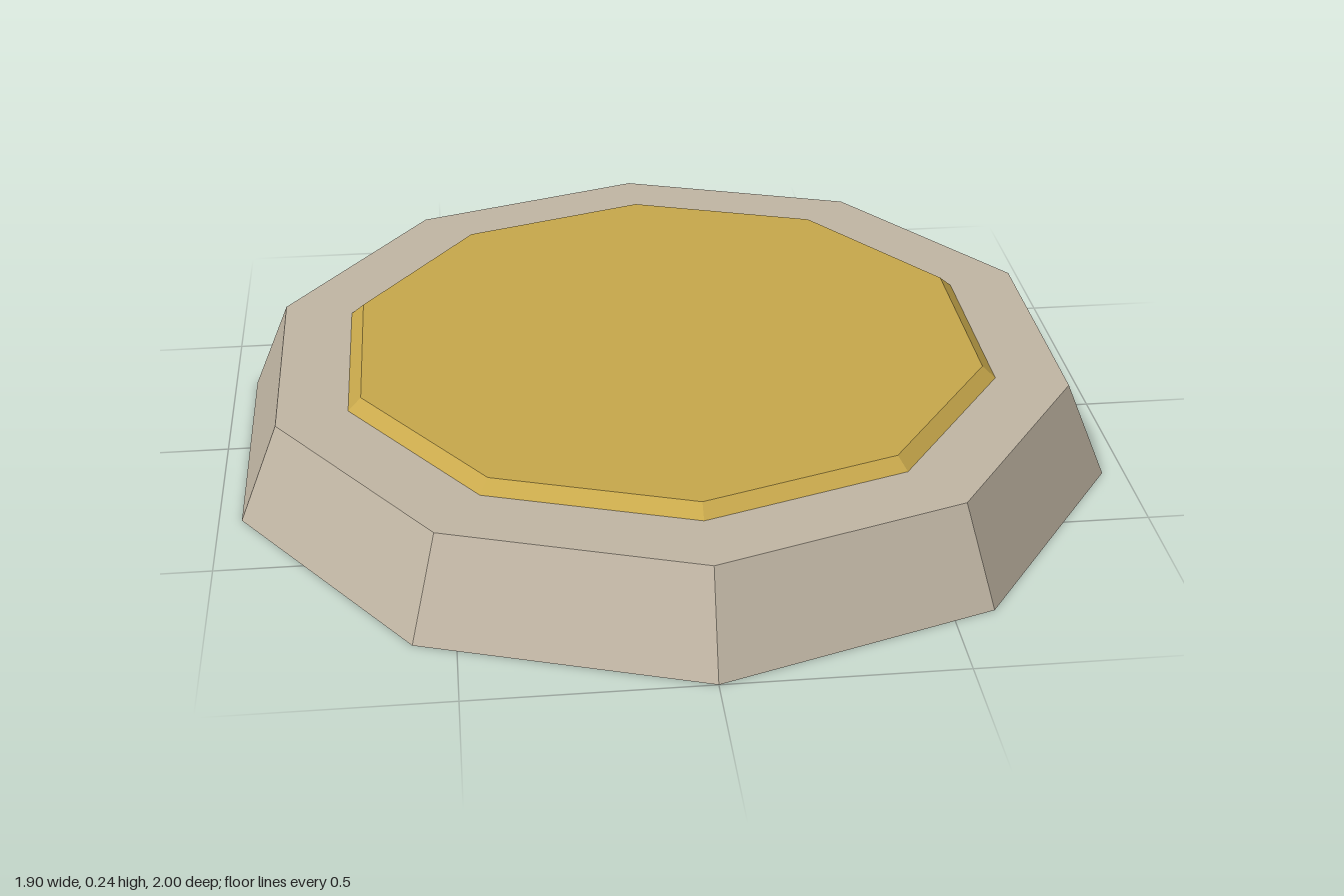
import * as THREE from 'three';

const SIDES = 10;

// Tapered ten-sided slab standing on y, with a corner pointing to the front
function slab(name, topRadius, bottomRadius, y, height, material) {
  const geometry = new THREE.CylinderGeometry(topRadius, bottomRadius, height, SIDES);
  geometry.translate(0, y + height / 2, 0);
  const mesh = new THREE.Mesh(geometry, material);
  mesh.name = name;
  return mesh;
}

export function createModel() {
  const stone = new THREE.MeshStandardMaterial({ color: 0xc2b7a5, flatShading: true });
  stone.name = 'stone';
  const gold = new THREE.MeshStandardMaterial({ color: 0xc9a94c, flatShading: true });
  gold.name = 'gold';

  const model = new THREE.Group();
  model.name = 'pedestal';

  // Stone base with sloping sides
  model.add(slab('base', 0.908, 1, 0, 0.214, stone));
  // Thin bevelled gold plate on top
  model.add(slab('topPlate', 0.717, 0.747, 0.214, 0.026, gold));

  return model;
}
